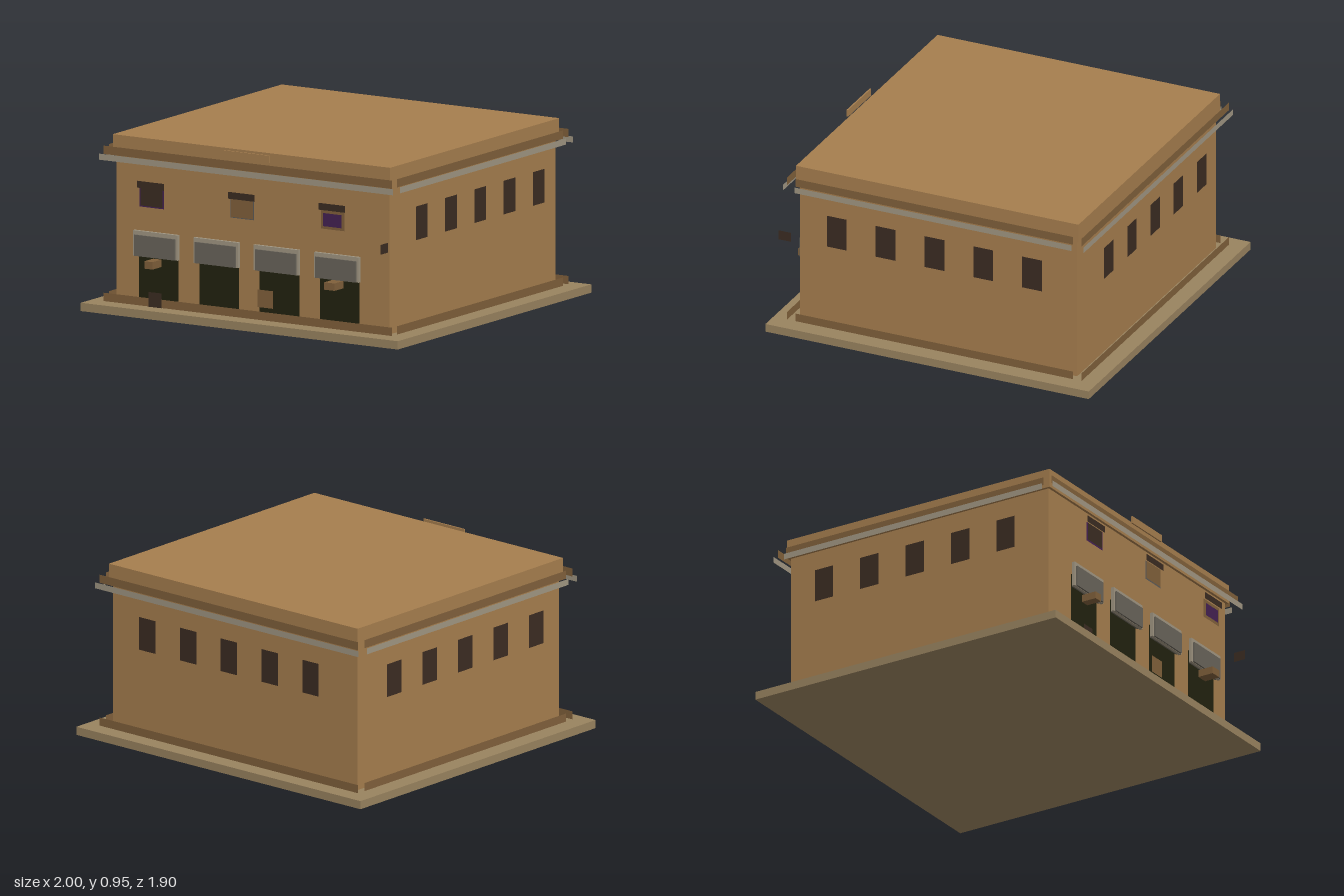
import * as THREE from 'three';

const mat = (name, color, side = THREE.FrontSide) =>
  new THREE.MeshStandardMaterial({ name, color, side });

export function createModel() {
  const model = new THREE.Group();
  model.name = 'building';
  const D = THREE.DoubleSide;
  const wall = mat('ochre wall', 0xa67e4e);
  const paving = mat('tan paving', 0x99835f);
  const trim = mat('brown trim', 0x80603b, D);
  const stone = mat('light grey stone', 0xa09682, D);
  const canvas = mat('dark grey shutter', 0x69645a);
  const doorway = mat('dark green doorway', 0x22220f, D);
  const dark = mat('dark brown', 0x3b2c22, D);
  const purple = mat('purple', 0x442152, D);
  const slate = mat('slate', 0x5c5a58, D);

  // Box given by its limits on each axis
  function box(name, m, x0, x1, y0, y1, z0, z1) {
    const mesh = new THREE.Mesh(new THREE.BoxGeometry(x1 - x0, y1 - y0, z1 - z0), m);
    mesh.position.set((x0 + x1) / 2, (y0 + y1) / 2, (z0 + z1) / 2);
    mesh.name = name;
    model.add(mesh);
  }

  // Flat panel on one facade: u runs along the facade, dist is its distance from the centre
  const turns = { front: 0, left: Math.PI / 2, back: Math.PI, right: -Math.PI / 2 };
  function panel(name, m, facade, u0, u1, y0, y1, dist) {
    const g = new THREE.PlaneGeometry(u1 - u0, y1 - y0);
    g.translate((u0 + u1) / 2, (y0 + y1) / 2, dist);
    g.rotateY(turns[facade]);
    const mesh = new THREE.Mesh(g, m);
    mesh.name = name;
    model.add(mesh);
  }

  // Main masses
  box('pavement', paving, -1, 1, 0, 0.045, -0.95, 0.95);
  box('walls', wall, -0.86, 0.86, 0.045, 0.86, -0.815, 0.815);
  box('roof', wall, -0.875, 0.875, 0.845, 0.95, -0.83, 0.83);

  // Plinth and cornice strips on all four facades
  for (const facade of Object.keys(turns)) {
    const wide = facade === 'front' || facade === 'back';
    const half = wide ? 0.91 : 0.815;
    const dist = wide ? 0.865 : 0.91;
    const stoneHalf = wide ? 0.927 : 0.815;
    panel('plinth', trim, facade, -half, half, 0.05, 0.095, dist);
    panel('corniceBand', trim, facade, -half, half, 0.845, 0.89, dist);
    panel('corniceLedge', stone, facade, -stoneHalf, stoneHalf, 0.815, 0.848, dist + 0.018);
  }

  // Rows of windows on the sides and back
  for (const facade of ['left', 'right', 'back']) {
    for (let i = -2; i <= 2; i++) {
      const c = i * 0.287;
      panel('window', dark, facade, c - 0.058, c + 0.058, 0.53, 0.712, facade === 'back' ? 0.865 : 0.91);
    }
  }

  // Shop doorways with their shutter housings
  for (const c of [-0.572, -0.19, 0.19, 0.57]) {
    panel('doorway', doorway, 'front', c - 0.125, c + 0.125, 0.09, 0.4, 0.85);
    box('awningPanel', stone, c - 0.141, c + 0.141, 0.32, 0.457, 0.866, 0.884);
    box('awningFace', canvas, c - 0.128, c + 0.128, 0.321, 0.435, 0.857, 0.893);
  }

  // Front upper windows, each with a lintel
  for (const c of [-0.573, 0, 0.57]) {
    panel('lintel', dark, 'front', c - 0.084, c + 0.084, 0.7, 0.737, 0.93);
  }
  panel('windowFrame', purple, 'front', -0.65, -0.495, 0.597, 0.705, 0.918);
  panel('windowPane', dark, 'front', -0.642, -0.503, 0.604, 0.702, 0.922);
  panel('windowFrame', slate, 'front', -0.076, 0.073, 0.597, 0.703, 0.918);
  panel('windowPane', trim, 'front', -0.071, 0.068, 0.602, 0.702, 0.922);
  panel('windowFrame', trim, 'front', 0.494, 0.643, 0.597, 0.703, 0.918);
  panel('windowPane', purple, 'front', 0.51, 0.627, 0.612, 0.683, 0.922);

  // Small fittings on the street front
  box('roofSign', wall, -0.143, 0.143, 0.907, 0.947, 0.872, 0.88);
  box('lampBox', trim, -0.602, -0.55, 0.27, 0.31, 0.858, 0.945);
  box('lampBox', trim, 0.535, 0.6, 0.275, 0.315, 0.858, 0.948);
  panel('notice', trim, 'front', 0.065, 0.163, 0.12, 0.215, 0.87);
  panel('bin', dark, 'front', -0.616, -0.535, 0.052, 0.132, 0.88);
  panel('hangingPlate', dark, 'left', -0.93, -0.858, 0.497, 0.55, 0.88);

  return model;
}
